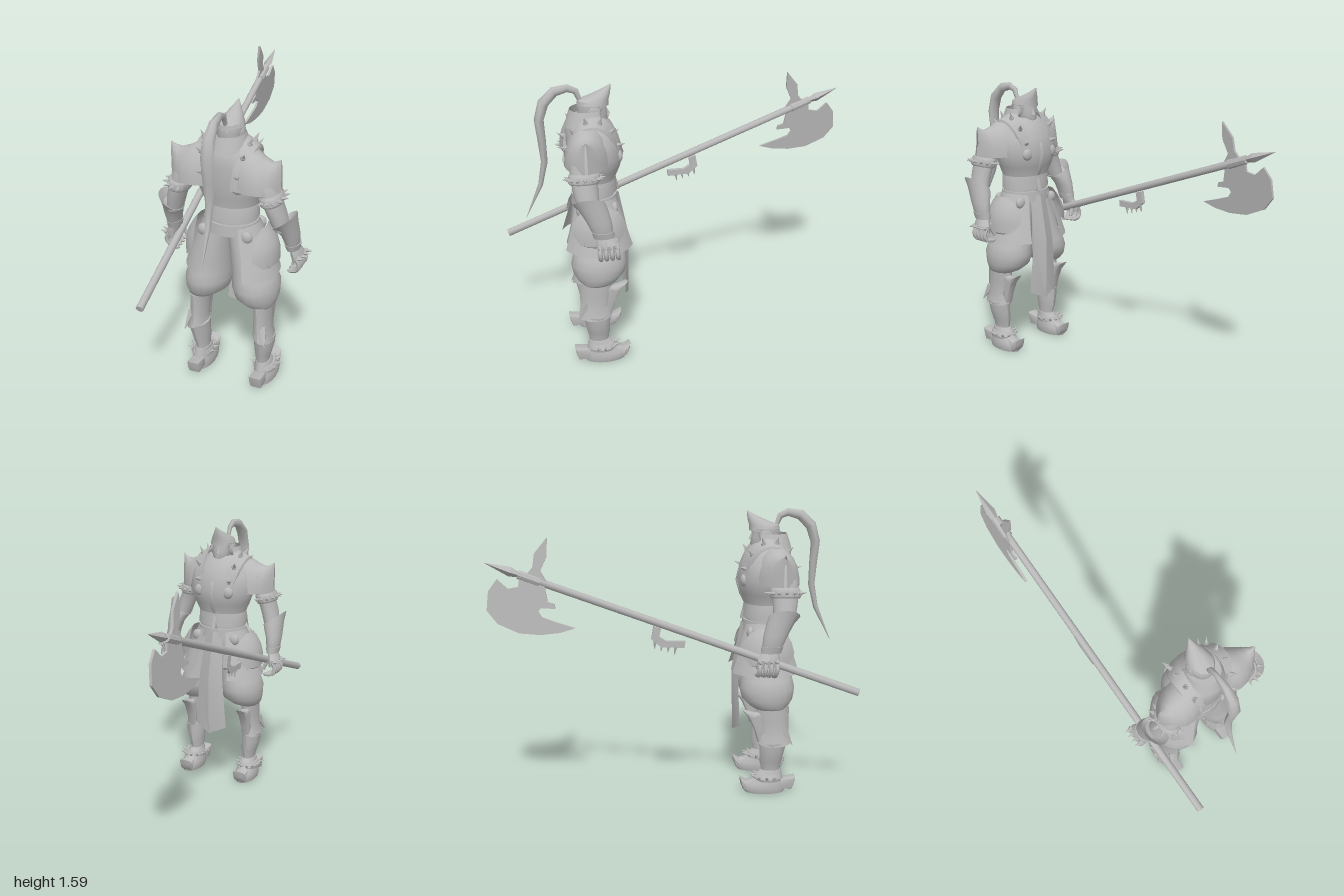
import * as THREE from 'three';
import { toCreasedNormals } from 'three/addons/utils/BufferGeometryUtils.js';

const steel = new THREE.MeshStandardMaterial({ color: 0xb8b8b8, side: THREE.DoubleSide });
steel.name = 'steel grey';
const V = (x, y, z) => new THREE.Vector3(x, y, z);

function add(group, name, geo, crease = 0.65) {
  const mesh = new THREE.Mesh(toCreasedNormals(geo, crease), steel);
  mesh.name = name;
  group.add(mesh);
}

// Surface through rows of points
function skin(rows) {
  const pos = [];
  const tri = (a, b, c) => {
    if (a.distanceTo(b) > 1e-5 && b.distanceTo(c) > 1e-5 && a.distanceTo(c) > 1e-5)
      for (const p of [a, b, c]) pos.push(p.x, p.y, p.z);
  };
  for (let r = 0; r + 1 < rows.length; r++)
    for (let i = 0; i + 1 < rows[r].length; i++) {
      const [a, b, c, d] = [rows[r][i], rows[r][i + 1], rows[r + 1][i], rows[r + 1][i + 1]];
      tri(a, c, b);
      tri(b, c, d);
    }
  const g = new THREE.BufferGeometry();
  g.setAttribute('position', new THREE.Float32BufferAttribute(pos, 3));
  return g;
}

// Elliptical rings [y, centreX, centreZ, radiusX, radiusZ, tilt], bottom to top;
// an angle range in degrees gives an open curved plate
function loft(rings, seg = 16, from = 0, to = 360) {
  const closed = to - from === 360;
  const rows = rings.map(([y, cx, cz, rx, rz, tilt = 0]) =>
    Array.from({ length: seg + 1 }, (_, i) => {
      const a = THREE.MathUtils.degToRad(from + (to - from) * (closed ? i % seg : i) / seg);
      return V(cx + rx * Math.cos(a), y + tilt * Math.cos(a), cz + rz * Math.sin(a));
    }));
  if (closed) {
    const cap = ([y, x, z]) => Array(seg + 1).fill(V(x, y, z));
    rows.unshift(cap(rings[0]));
    rows.push(cap(rings[rings.length - 1]));
  }
  return skin(rows);
}

// Arched sections [x, baseY, topY, centreZ, halfDepth, lean] running sideways
const arches = (list, seg = 12) => skin(list.map(([x, y0, y1, cz, hz, lean = 0]) =>
  Array.from({ length: seg + 1 }, (_, i) => {
    const a = Math.PI * i / seg, s = Math.sin(a);
    return V(x + lean * s, y0 + (y1 - y0) * s, cz + hz * Math.cos(a));
  })));

// Side outline in [z, y], extruded across x
function plate(points, width, x, bevel = 0) {
  const shape = new THREE.Shape(points.map(([z, y]) => new THREE.Vector2(z, y)));
  const depth = width - 2 * bevel;
  const g = new THREE.ExtrudeGeometry(shape, { depth, bevelEnabled: bevel > 0,
    bevelSize: bevel, bevelThickness: bevel, bevelOffset: -bevel, bevelSegments: 2 });
  return g.rotateY(-Math.PI / 2).translate(x + depth / 2, 0, 0);
}

function rod(a, b, r0, r1, seg = 10) {
  const d = b.clone().sub(a);
  const g = new THREE.CylinderGeometry(r1, r0, d.length(), seg);
  g.applyQuaternion(new THREE.Quaternion().setFromUnitVectors(V(0, 1, 0), d.normalize()));
  const m = a.clone().add(b).multiplyScalar(0.5);
  return g.translate(m.x, m.y, m.z);
}

function spike(group, at, dir, len = 0.045, r = 0.013) {
  const d = dir.clone().normalize();
  add(group, 'spike', rod(at, at.clone().addScaledVector(d, len), r, 0.0005, 5), 0.3);
  add(group, 'spikeBase', rod(at.clone().addScaledVector(d, -0.008), at.clone().addScaledVector(d, 0.006), r * 1.3, r, 6));
}

function boss(group, x, y, z, r) {
  add(group, 'roundBoss', new THREE.SphereGeometry(r, 12, 8).scale(1, 1, 0.6).translate(x, y, z), 1.5);
}

function buildSide(s) {
  const g = new THREE.Group();
  g.name = s > 0 ? 'leftSide' : 'rightSide';

  // Shoulder armour: winged dome, curved spiked strap and round bosses
  add(g, 'pauldron', arches([[0.1, 1.19, 1.39, 0.545, 0.12], [0.15, 1.19, 1.385, 0.555, 0.122],
    [0.2, 1.188, 1.355, 0.562, 0.108], [0.25, 1.186, 1.34, 0.568, 0.078],
    [0.28, 1.184, 1.352, 0.572, 0.045], [0.3, 1.184, 1.365, 0.575, 0.008]]));
  add(g, 'shoulderStrap', arches([[0.055, 1.2, 1.42, 0.515, 0.135, 0.03], [0.058, 1.19, 1.43, 0.515, 0.15, 0.03],
    [0.108, 1.19, 1.395, 0.525, 0.14, 0.05], [0.112, 1.2, 1.38, 0.525, 0.125, 0.05]]));
  for (const t of [0.35, 0.85, 1.35, 1.85, 2.35, 2.8])
    spike(g, V(0.083 + 0.04 * Math.sin(t), 1.19 + 0.222 * Math.sin(t), 0.52 + 0.145 * Math.cos(t)),
      V(0.45, Math.sin(t), Math.cos(t)), 0.042);
  boss(g, 0.09, 1.2, 0.638, 0.036);
  boss(g, 0.09, 1.2, 0.38, 0.036);
  boss(g, 0.12, 0.91, 0.605, 0.034);
  boss(g, 0.12, 0.91, 0.415, 0.034);

  // Arm with spiked band
  add(g, 'upperArm', loft([[0.98, 0.3, 0.565, 0.04, 0.055], [1.07, 0.278, 0.58, 0.05, 0.065],
    [1.15, 0.25, 0.585, 0.05, 0.072], [1.22, 0.225, 0.575, 0.062, 0.08], [1.29, 0.2, 0.56, 0.06, 0.075]]));
  add(g, 'armBand', loft([[1.125, 0.257, 0.585, 0.053, 0.077, 0.01], [1.135, 0.255, 0.585, 0.06, 0.084, 0.01],
    [1.17, 0.248, 0.583, 0.06, 0.084, 0.01], [1.18, 0.246, 0.583, 0.053, 0.077, 0.01]]));
  for (let i = 0; i < 9; i++) {
    const a = -2 + i * 0.5;
    spike(g, V(0.252 + 0.058 * Math.cos(a), 1.152 + 0.01 * Math.cos(a), 0.584 + 0.083 * Math.sin(a)),
      V(Math.cos(a), 0.15, Math.sin(a)), 0.032, 0.011);
  }

  // Gauntlet with raised elbow flare
  add(g, 'gauntlet', loft([[0.85, 0.337, 0.503, 0.03, 0.05], [0.87, 0.337, 0.505, 0.036, 0.055],
    [0.94, 0.331, 0.525, 0.046, 0.066], [1, 0.318, 0.55, 0.056, 0.076, 0.02],
    [1.035, 0.314, 0.572, 0.063, 0.085, 0.045], [1.01, 0.31, 0.565, 0.045, 0.06, 0.02]]));
  add(g, 'wristCuff', loft([[0.845, 0.338, 0.5, 0.034, 0.055], [0.88, 0.337, 0.508, 0.042, 0.06]]));
  add(g, 'hand', loft([[0.77, 0.355, 0.482, 0.024, 0.055], [0.81, 0.355, 0.485, 0.032, 0.06],
    [0.85, 0.34, 0.497, 0.027, 0.045]], 12));
  for (let i = 0; i < 4; i++) {
    const z = 0.53 - i * 0.031;
    const path = new THREE.CatmullRomCurve3([V(0.362, 0.8, z), V(0.38, 0.765, z), V(0.368, 0.73, z - 0.005), V(0.325, 0.712 + i * 0.004, z - 0.01)]);
    add(g, 'finger', new THREE.TubeGeometry(path, 6, 0.013, 6), 1);
    add(g, 'fingerTip', rod(path.getPoint(0.98), path.getPoint(1).add(V(-0.014, 0, 0)), 0.013, 0.004, 6));
    spike(g, V(0.382, 0.802, z), V(1, 0.1, 0), 0.036, 0.011);
  }
  add(g, 'thumb', rod(V(0.335, 0.82, 0.445), V(0.305, 0.75, 0.435), 0.015, 0.01, 7));

  // Flared skirt, rounded hip plate [y, radiusX, radiusZ, half angle] and baggy trousers
  add(g, 'skirtPlate', loft([[0.68, 0, 0.507, 0.258, 0.212], [0.8, 0, 0.507, 0.22, 0.172],
    [0.96, 0, 0.51, 0.148, 0.122]], 14, -62, 60));
  add(g, 'hipPlate', skin([[0.735, 0.245, 0.205, 0.3], [0.745, 0.256, 0.21, 0.55], [0.8, 0.258, 0.2, 0.85],
    [0.86, 0.246, 0.18, 0.85], [0.91, 0.218, 0.16, 0.7], [0.945, 0.19, 0.145, 0.35]].map(([y, rx, rz, h]) =>
    Array.from({ length: 11 }, (_, i) => {
      const a = h * (i / 5 - 1);
      return V(rx * Math.cos(a), y, 0.507 + rz * Math.sin(a));
    }))));
  add(g, 'trouserLeg', loft([[0.487, 0.183, 0.53, 0.055, 0.08], [0.503, 0.162, 0.522, 0.088, 0.108],
    [0.54, 0.142, 0.515, 0.117, 0.142], [0.6, 0.136, 0.512, 0.126, 0.156], [0.65, 0.128, 0.51, 0.118, 0.145],
    [0.72, 0.106, 0.51, 0.1, 0.132], [0.83, 0.085, 0.51, 0.088, 0.122], [0.94, 0.06, 0.51, 0.08, 0.105]], 20), 1);

  // Greave with a pointed knee, flared lower edge and calf point
  add(g, 'kneeGuard', loft([[0.295, 0.194, 0.55, 0.056, 0.095, -0.018], [0.35, 0.186, 0.55, 0.044, 0.083],
    [0.42, 0.184, 0.542, 0.046, 0.09], [0.5, 0.183, 0.54, 0.045, 0.093]], 12));
  add(g, 'kneePoint', plate([[0.52, 0.49], [0.44, 0.465], [0.365, 0.487], [0.41, 0.43], [0.44, 0.36],
    [0.46, 0.29], [0.52, 0.35]], 0.055, 0.185, 0.018));
  add(g, 'calfPoint', rod(V(0.205, 0.38, 0.6), V(0.235, 0.285, 0.648), 0.026, 0.002, 4), 0.3);
  add(g, 'shin', loft([[0.08, 0.18, 0.535, 0.036, 0.052], [0.15, 0.182, 0.535, 0.038, 0.056],
    [0.18, 0.185, 0.535, 0.045, 0.064], [0.24, 0.192, 0.54, 0.054, 0.07], [0.295, 0.194, 0.545, 0.056, 0.078]], 12));

  // Shoe with curled toe, heel spur and spiked ankle cuff
  add(g, 'shoe', loft([[0, 0.187, 0.503, 0.056, 0.112], [0.02, 0.187, 0.5, 0.062, 0.118],
    [0.05, 0.187, 0.503, 0.06, 0.112], [0.085, 0.186, 0.52, 0.052, 0.086], [0.13, 0.182, 0.535, 0.042, 0.058]], 16), 0.8);
  add(g, 'curledToe', plate([[0.48, 0], [0.405, 0], [0.378, 0.02], [0.365, 0.05], [0.36, 0.087], [0.4, 0.066],
    [0.44, 0.08], [0.48, 0.09]], 0.075, 0.187, 0.02));
  add(g, 'heelSpur', plate([[0.58, 0.075], [0.675, 0.088], [0.668, 0.05], [0.655, 0.015], [0.58, 0.02]], 0.07, 0.185, 0.01));
  add(g, 'ankleCuff', loft([[0.07, 0.19, 0.52, 0.06, 0.08], [0.085, 0.19, 0.52, 0.064, 0.083],
    [0.108, 0.187, 0.522, 0.055, 0.072]], 12));
  for (let i = 0; i < 8; i++) {
    const a = -3.4 + i * 0.54;
    spike(g, V(0.19 + 0.056 * Math.cos(a), 0.09, 0.52 + 0.075 * Math.sin(a)), V(Math.cos(a), 0.5, Math.sin(a)), 0.036, 0.011);
  }
  g.scale.x = s;
  return g;
}

function buildHalberd() {
  const g = new THREE.Group();
  g.name = 'halberd';
  const at = z => V(-0.302 - (1 - z) * 0.034, 0.605 + (1 - z) * 0.371, z);
  add(g, 'pole', rod(at(0.993), at(-0.8), 0.021, 0.02, 10));
  add(g, 'socket', rod(at(-0.72), at(-0.83), 0.026, 0.024, 8));
  add(g, 'spearBase', rod(at(-0.82), at(-0.87), 0.012, 0.026, 4), 0.3);
  add(g, 'spearTip', rod(at(-0.87), at(-1), 0.026, 0.001, 4), 0.3);
  // Flat blades lean slightly so they follow the pole
  const lean = (geo) => {
    const p = geo.attributes.position;
    for (let i = 0; i < p.count; i++) p.setX(i, p.getX(i) - 0.364 + (p.getY(i) - 1.27) * 0.1);
    return geo;
  };
  add(g, 'axeBlade', lean(plate([[-0.54, 1.003], [-0.64, 1.035], [-0.71, 1.06], [-0.73, 1.09], [-0.715, 1.11],
    [-0.64, 1.105], [-0.645, 1.13], [-0.68, 1.14], [-0.69, 1.2], [-0.7, 1.26], [-0.82, 1.29], [-0.83, 1.22],
    [-0.885, 1.21], [-0.94, 1.26], [-0.985, 1.2], [-0.995, 1.1], [-0.94, 1.03], [-0.83, 0.98], [-0.72, 0.97],
    [-0.62, 0.98]], 0.014, 0)));
  add(g, 'backSpike', lean(plate([[-0.68, 1.47], [-0.745, 1.39], [-0.755, 1.32], [-0.79, 1.28], [-0.68, 1.24],
    [-0.715, 1.3], [-0.68, 1.375]], 0.014, 0)));
  // Toothed catch below the pole
  const hook = [[0.04, 0.915], [-0.06, 0.915], [-0.1, 0.94], [-0.09, 0.985], [-0.13, 0.998], [-0.142, 0.93], [-0.09, 0.885], [0.035, 0.88]];
  add(g, 'catch', plate(hook, 0.025, -0.336));
  for (let i = 0; i < 4; i++) {
    const z = -0.01 - i * 0.036, y = 0.895 + i * 0.01;
    add(g, 'catchTooth', rod(V(-0.336, y, z), V(-0.336, y - 0.052, z - 0.008), 0.013, 0.002, 5));
  }
  return g;
}

export function createModel() {
  const g = new THREE.Group();
  g.name = 'armouredWarrior';

  // Torso, waist plate and belt
  add(g, 'torso', loft([[0.9, 0, 0.51, 0.15, 0.115], [0.98, 0, 0.51, 0.137, 0.112], [1.05, 0, 0.508, 0.138, 0.112],
    [1.12, 0, 0.502, 0.17, 0.136], [1.2, 0, 0.497, 0.2, 0.15], [1.29, 0, 0.51, 0.188, 0.142],
    [1.36, 0, 0.525, 0.145, 0.125], [1.4, 0, 0.535, 0.095, 0.098]], 24));
  add(g, 'waistPlate', loft([[0.985, 0, 0.508, 0.147, 0.124], [1.06, 0, 0.508, 0.145, 0.118], [1.075, 0, 0.507, 0.14, 0.115]], 24));
  add(g, 'belt', loft([[0.91, 0, 0.51, 0.152, 0.13], [0.97, 0, 0.51, 0.147, 0.125]], 24));
  // Gorget, open under the chin
  add(g, 'collar', loft([[1.36, 0, 0.53, 0.12, 0.125], [1.41, 0, 0.53, 0.1, 0.11], [1.45, 0, 0.53, 0.086, 0.095]], 16, -35, 215));
  add(g, 'breastRidge', plate([[0.43, 1.36], [0.36, 1.26], [0.342, 1.19], [0.365, 1.11], [0.392, 1.06], [0.37, 0.97], [0.43, 0.96]], 0.035, 0, 0.012));

  // Face, with nose and chin, and peaked helmet
  add(g, 'face', loft([[1.34, 0, 0.515, 0.045, 0.05], [1.365, 0, 0.485, 0.04, 0.055], [1.39, 0, 0.478, 0.048, 0.057],
    [1.43, 0, 0.49, 0.056, 0.066], [1.49, 0, 0.5, 0.056, 0.066]], 14));
  add(g, 'nose', rod(V(0, 1.455, 0.435), V(0, 1.415, 0.422), 0.006, 0.012, 4), 0.3);
  add(g, 'helmetBack', loft([[1.41, 0, 0.51, 0.06, 0.07], [1.44, 0, 0.507, 0.068, 0.078], [1.475, 0, 0.5, 0.07, 0.084]], 14, -40, 220));
  add(g, 'helmet', loft([[1.465, 0, 0.5, 0.07, 0.086], [1.495, 0, 0.497, 0.062, 0.084],
    [1.525, 0, 0.455, 0.037, 0.05], [1.55, 0, 0.425, 0.018, 0.024], [1.575, 0, 0.402, 0.002, 0.003]], 14));
  for (const s of [-1, 1])
    add(g, 'cheekGuard', new THREE.SphereGeometry(0.03, 10, 8).scale(0.5, 1.4, 1.2).translate(s * 0.06, 1.44, 0.5), 1);

  // Long plume: [y, z, half width, half depth] along its path
  const plume = [[1.49, 0.565, 0.01, 0.012], [1.545, 0.585, 0.013, 0.018], [1.565, 0.63, 0.015, 0.022],
    [1.55, 0.7, 0.024, 0.028], [1.49, 0.76, 0.034, 0.03], [1.4, 0.787, 0.035, 0.026], [1.28, 0.778, 0.031, 0.022],
    [1.16, 0.772, 0.023, 0.018], [1.03, 0.8, 0.014, 0.013], [0.84, 0.888, 0.001, 0.001]];
  add(g, 'plume', skin(plume.map(([y, z, w, d], i) => {
    const a = plume[Math.max(i - 1, 0)], b = plume[Math.min(i + 1, plume.length - 1)];
    const t = Math.atan2(b[0] - a[0], b[1] - a[1]);
    return Array.from({ length: 9 }, (_, k) => {
      const q = (k % 8) * Math.PI / 4, n = d * Math.sin(q);
      return V(w * Math.cos(q), y + n * Math.cos(t), z - n * Math.sin(t));
    });
  })), 0.9);

  // Long folded cloth with a pointed hem
  add(g, 'frontCloth', skin([
    [V(-0.055, 0.95, 0.4), V(0, 0.95, 0.375), V(0.055, 0.95, 0.4)],
    [V(-0.075, 0.68, 0.355), V(0, 0.68, 0.325), V(0.075, 0.68, 0.355)],
    [V(-0.1, 0.36, 0.365), V(0, 0.315, 0.335), V(0.1, 0.36, 0.365)]]));

  g.add(buildSide(1), buildSide(-1), buildHalberd());
  return g;
}
